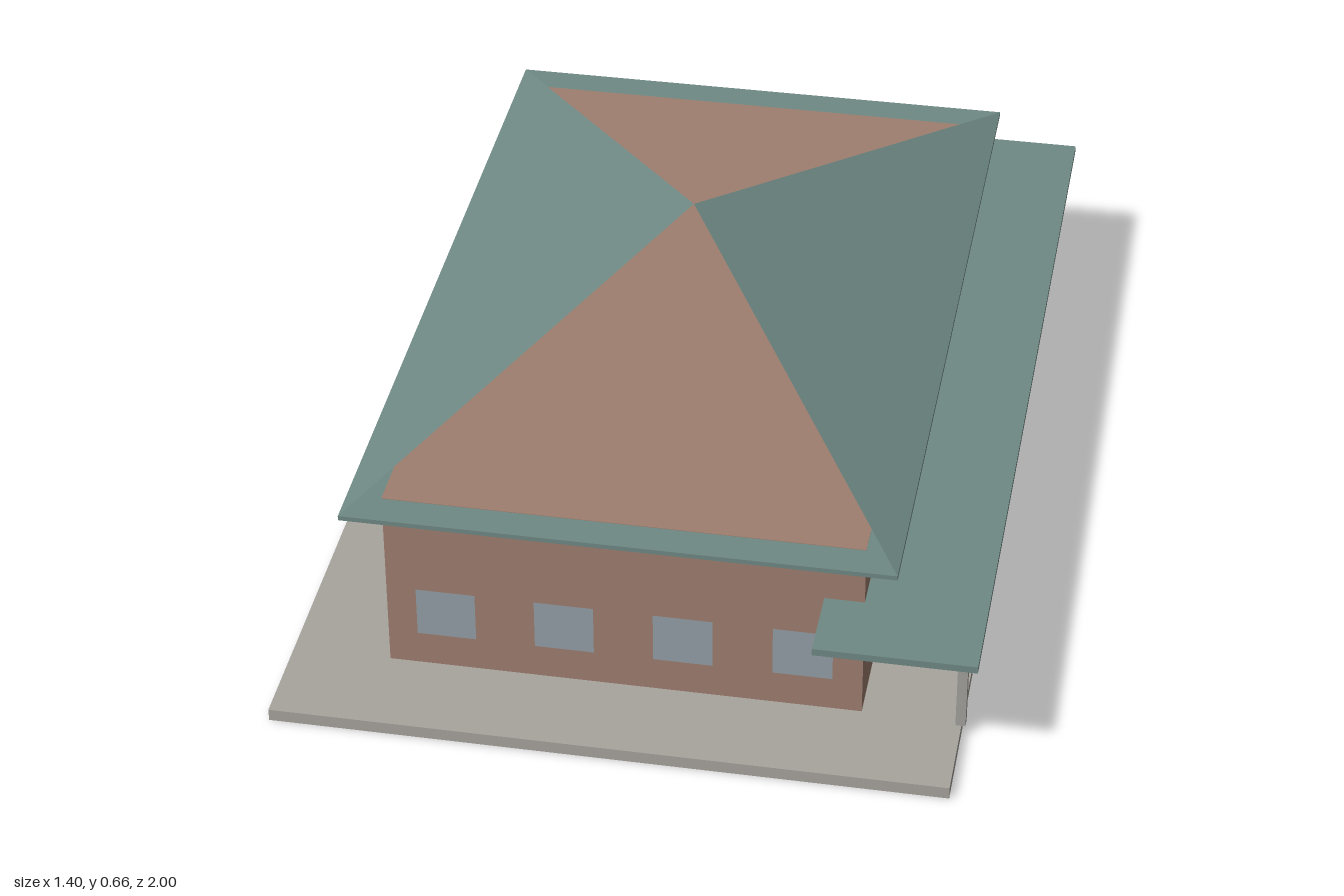
import * as THREE from 'three';

const mat = (color, side = THREE.FrontSide) =>
  new THREE.MeshStandardMaterial({ color, side, flatShading: true });

export function createModel() {
  const model = new THREE.Group();
  model.name = 'pavilion';
  const stone = mat(0xa8a59f), brick = mat(0xa07f70), teal = mat(0x708a85);
  const glass = mat(0x93a0a7), metal = mat(0xa3a29e);

  // Box given by its minimum and maximum on each axis
  const box = (name, material, [x0, x1], [y0, y1], [z0, z1]) => {
    const mesh = new THREE.Mesh(new THREE.BoxGeometry(x1 - x0, y1 - y0, z1 - z0), material);
    mesh.position.set((x0 + x1) / 2, (y0 + y1) / 2, (z0 + z1) / 2);
    mesh.name = name;
    model.add(mesh);
  };

  const wallX = [-0.5, 0.46], wallZ = 0.8, eaveX = [-0.57, 0.53], eaveZ = 0.87, eaveY = 0.427;
  box('basePlate', stone, [-0.7, 0.66], [0, 0.026], [-1, 1]);
  box('walls', brick, wallX, [0.026, eaveY + 0.001], [-wallZ, wallZ]);
  box('eaveSlab', teal, eaveX, [0.417, eaveY], [-eaveZ, eaveZ]);

  // Porch canopy along the left side, carried by five square posts
  box('porchCanopy', teal, [0.38, 0.7], [0.285, 0.3], [-0.96, 0.96]);
  for (let i = -2; i <= 2; i++) {
    const z = i * 0.4;
    box('porchPost', metal, [0.648, 0.668], [0.026, 0.285], [z - 0.01, z + 0.01]);
  }

  // Two sloping roof sheets meeting at one peak, open towards front and back
  const peak = [-0.02, 0.664, 0];
  const roofMat = mat(0x708a85, THREE.DoubleSide);
  eaveX.forEach((x, i) => {
    const s = i ? 1 : -1;
    const geo = new THREE.BufferGeometry();
    geo.setAttribute('position', new THREE.Float32BufferAttribute(
      [x, eaveY, s * eaveZ, x, eaveY, -s * eaveZ, ...peak], 3));
    geo.computeVertexNormals();
    const sheet = new THREE.Mesh(geo, roofMat);
    sheet.name = i ? 'roofSheetLeft' : 'roofSheetRight';
    model.add(sheet);
  });

  // Flush window panes, just proud of the walls
  const paneGeo = new THREE.PlaneGeometry(0.12, 0.11);
  const pane = (name, x, z, turn) => {
    const mesh = new THREE.Mesh(paneGeo, glass);
    mesh.position.set(x, 0.156, z);
    mesh.rotation.y = turn;
    mesh.name = name;
    model.add(mesh);
  };
  const gap = 0.002;
  for (let i = 0; i < 4; i++) {
    const x = -0.38 + i * 0.24;
    pane('frontWindow', x, wallZ + gap, 0);
    pane('backWindow', x, -wallZ - gap, Math.PI);
  }
  for (let i = -3; i <= 3; i++) {
    const z = i * 0.2285;
    pane('leftWindow', wallX[1] + gap, z, Math.PI / 2);
    pane('rightWindow', wallX[0] - gap, z, -Math.PI / 2);
  }
  return model;
}
